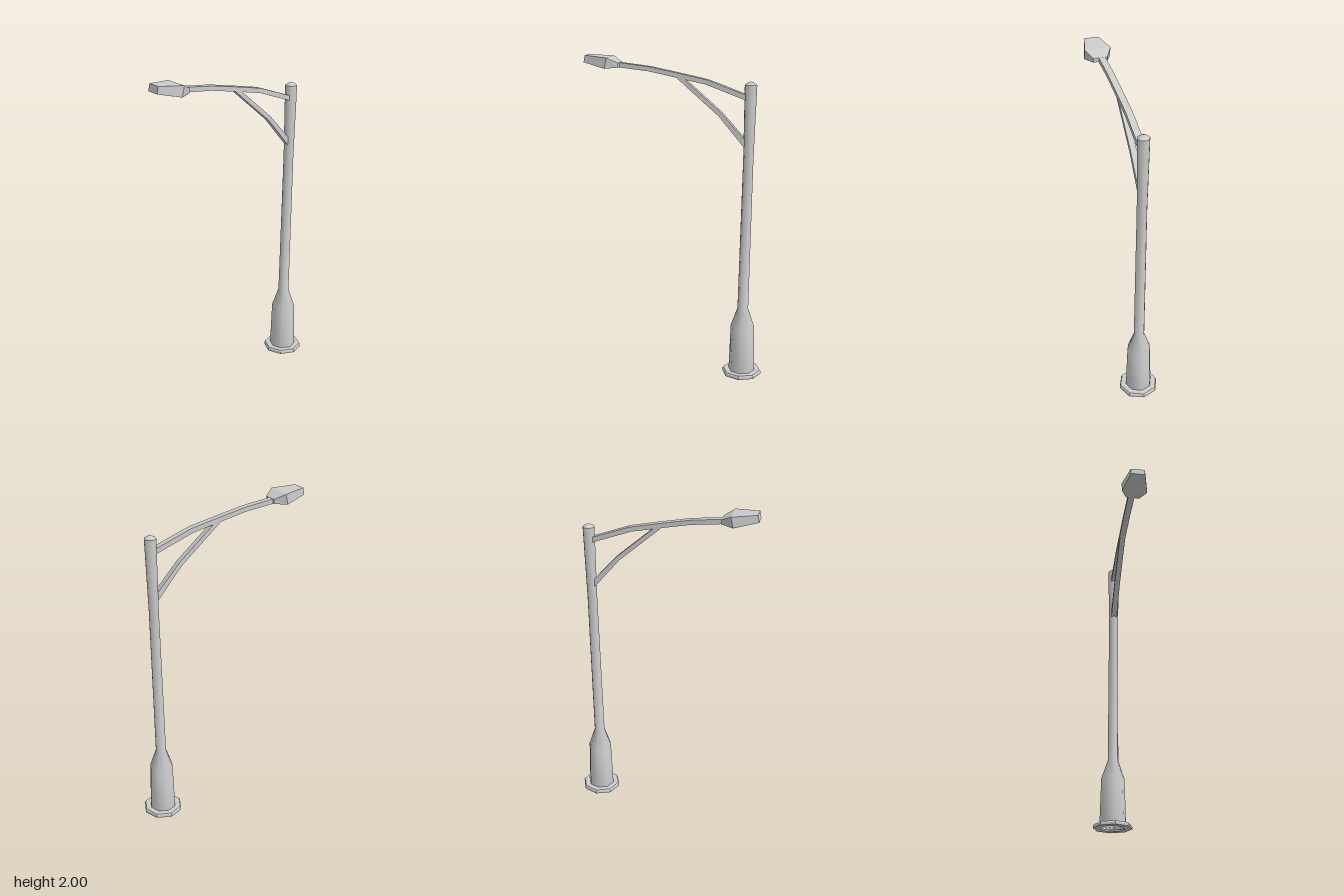
import * as THREE from 'three';
import { toCreasedNormals } from 'three/addons/utils/BufferGeometryUtils.js';

const POLE_X = 0.432;
const V = (x, y) => new THREE.Vector2(x, y);

export function createModel() {
  const group = new THREE.Group();
  const smooth = new THREE.MeshStandardMaterial({ color: 0xcccccc, side: THREE.DoubleSide });
  const flat = new THREE.MeshStandardMaterial({ color: 0xcccccc, side: THREE.DoubleSide, flatShading: true });

  const add = (name, geometry, material) => {
    const mesh = new THREE.Mesh(geometry, material);
    mesh.name = name;
    group.add(mesh);
    return mesh;
  };

  // Octagonal foot ring, open in the middle
  const ring = [V(0.078, 0), V(0.124, 0), V(0.124, 0.014), V(0.118, 0.024), V(0.08, 0.024)];
  add('footRing', new THREE.LatheGeometry(ring, 8), flat).position.x = POLE_X;

  // Hollow pole with a wide base and a small pointed cap, leaning slightly towards +x
  const profile = [
    V(0.084, 0.01), V(0.075, 0.32), V(0.034, 0.44), V(0.031, 1.4),
    V(0.037, 1.845), V(0.022, 1.856), V(0, 1.865),
  ];
  const pole = new THREE.LatheGeometry(profile, 8);
  const p = pole.attributes.position;
  for (let i = 0; i < p.count; i++) {
    const lean = Math.max(0, p.getY(i) - 0.44) / 1.4;
    p.setX(i, p.getX(i) + POLE_X + 0.018 * lean);
  }
  add('pole', toCreasedNormals(pole, 0.9), smooth);

  // Bent flat bars: outline of the upper edge, then the lower edge, extruded in z
  const bar = (name, upper, lower, width) => {
    const shape = new THREE.Shape([...upper, ...lower.reverse()].map(([x, y]) => V(x, y)));
    const geometry = new THREE.ExtrudeGeometry(shape, { depth: width, bevelEnabled: false });
    add(name, geometry.translate(0, 0, -width / 2), flat);
  };
  bar('arm',
    [[-0.37, 1.96], [-0.16, 1.937], [0.01, 1.905], [0.195, 1.868], [0.44, 1.781]],
    [[-0.37, 1.931], [-0.165, 1.91], [0, 1.878], [0.185, 1.841], [0.44, 1.749]], 0.04);
  bar('brace',
    [[0.035, 1.884], [0.278, 1.677], [0.435, 1.506]],
    [[0, 1.88], [0.262, 1.656], [0.425, 1.466]], 0.036);

  // Lamp head from three cross-sections: [top x, top y, bottom x, bottom y, half width]
  const sections = [
    [-0.551, 2.0, -0.56, 1.958, 0.044],
    [-0.405, 1.99, -0.42, 1.926, 0.08],
    [-0.346, 1.958, -0.346, 1.931, 0.043],
  ];
  const positions = [];
  for (const [tx, ty, bx, by, w] of sections) {
    positions.push(tx, ty, -w, tx, ty, w, bx, by, w, bx, by, -w);
  }
  const index = [0, 3, 2, 0, 2, 1, 8, 9, 10, 8, 10, 11];
  for (let s = 0; s < 2; s++) {
    for (let k = 0; k < 4; k++) {
      const a = s * 4 + k, b = s * 4 + ((k + 1) % 4);
      index.push(a, b, b + 4, a, b + 4, a + 4);
    }
  }
  const head = new THREE.BufferGeometry();
  head.setAttribute('position', new THREE.Float32BufferAttribute(positions, 3));
  head.setIndex(index);
  head.computeVertexNormals();
  add('lampHead', head, flat).position.z = 0.01;

  return group;
}
